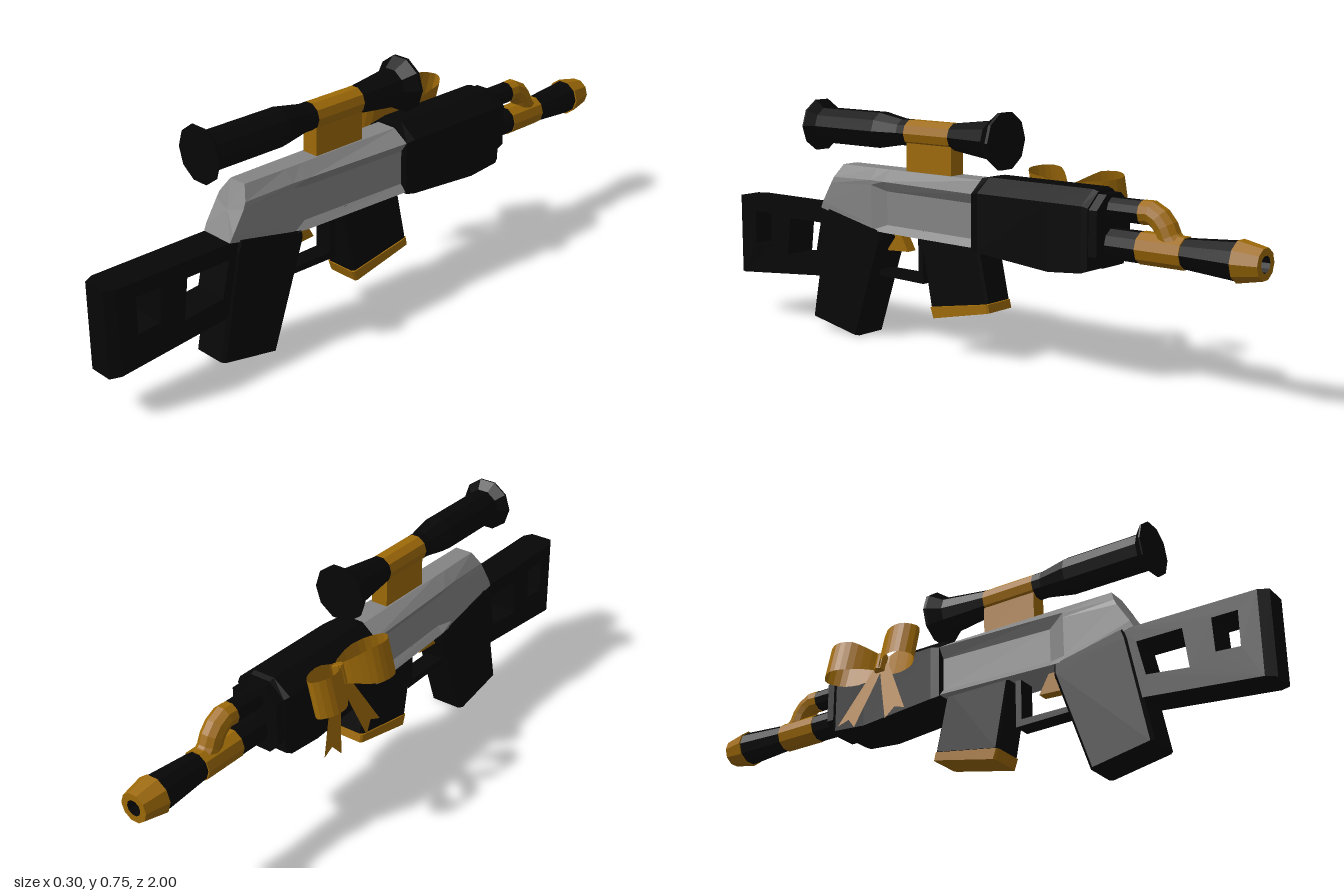
import * as THREE from 'three';

const CX = 0.057; // centre line of the body
const mat = (name, color, side = THREE.FrontSide) =>
  Object.assign(new THREE.MeshStandardMaterial({ color, flatShading: true, side }), { name });

export function createModel() {
  const root = new THREE.Group();
  const black = mat('black', 0x060606);
  const grey = mat('grey', 0x848484);
  const gold = mat('gold', 0x9e6a08, THREE.DoubleSide);

  const add = (name, geo, material, x = CX, y = 0, parent = root) => {
    const m = new THREE.Mesh(geo, material);
    m.name = name;
    m.position.set(x, y, 0);
    parent.add(m);
    return m;
  };

  // Skin over closed rings, anticlockwise as seen from the first ring's side
  const loft = (rings) => {
    const pos = [];
    const tri = (...p) => p.forEach((v) => pos.push(...v));
    const n = rings[0].length;
    for (let r = 0; r < rings.length - 1; r++) {
      for (let i = 0; i < n; i++) {
        const j = (i + 1) % n, a = rings[r], b = rings[r + 1];
        tri(a[i], b[i], b[j]);
        tri(a[i], b[j], a[j]);
      }
    }
    const cap = (ring, flip) => {
      const c = [0, 1, 2].map((k) => ring.reduce((s, p) => s + p[k], 0) / n);
      ring.forEach((p, i) => {
        const q = ring[(i + 1) % n];
        flip ? tri(c, q, p) : tri(c, p, q);
      });
    };
    cap(rings[0], false);
    cap(rings[rings.length - 1], true);
    const g = new THREE.BufferGeometry();
    g.setAttribute('position', new THREE.Float32BufferAttribute(pos, 3));
    g.computeVertexNormals();
    return g;
  };

  // Mirrored ring from [halfWidth, y, z] points listed top to bottom
  const ring = (half, z) => [
    ...half.slice().reverse().map(([w, y, pz]) => [w, y, pz ?? z]),
    ...half.map(([w, y, pz]) => [-w, y, pz ?? z]),
  ];

  // Chamfered slanted block; levels run downwards as [backZ, backY, frontZ, frontY]
  const block = (levels, w, c) => loft(levels.map(([bz, by, fz, fy]) => {
    const k = c / (bz - fz);
    return [[w, k], [w, 1 - k], [w - c, 1], [c - w, 1], [-w, 1 - k], [-w, k], [c - w, 0], [w - c, 0]]
      .map(([x, t]) => [x, by + (fy - by) * t, bz + (fz - bz) * t]);
  }));

  // Side profile in [z, y], extruded across x; holes wind against the outline
  const path = (pts, T = THREE.Shape) => new T(pts.map(([z, y]) => new THREE.Vector2(-z, y)));
  const slab = (pts, width, holes = []) => {
    const s = path(pts);
    s.holes = holes.map((h) => path(h, THREE.Path));
    return new THREE.ExtrudeGeometry(s, { depth: width, bevelEnabled: false })
      .translate(0, 0, -width / 2).rotateY(Math.PI / 2);
  };

  // Turned part along z from [radius, z], z increasing
  const turned = (pts, sides = 10) => new THREE.LatheGeometry(
    pts.map(([r, z]) => new THREE.Vector2(r, z)), sides, Math.PI / 2).rotateX(Math.PI / 2);

  // Stock with two openings and a chamfered butt
  add('stock', slab([[0.97, 0.40], [0.55, 0.40], [0.59, 0.175], [0.97, 0.14]], 0.11, [
    [[0.91, 0.245], [0.835, 0.25], [0.83, 0.355], [0.91, 0.355]],
    [[0.755, 0.225], [0.62, 0.24], [0.595, 0.35], [0.74, 0.35]],
  ]), black);
  add('butt', loft([
    ring([[0.038, 0.40], [0.038, 0.137]], 1),
    ring([[0.055, 0.40], [0.055, 0.14]], 0.97),
  ]), black);

  // Grip, guard and trigger
  add('grip', block([[0.56, 0.40, 0.32, 0.35], [0.57, 0.37, 0.32, 0.32], [0.635, 0.04, 0.43, 0]], 0.061, 0.01), black);
  add('triggerGuard', slab([[0.41, 0.222], [0.19, 0.222], [0.19, 0.36], [0.17, 0.36], [0.17, 0.2], [0.41, 0.205]], 0.06), black);
  add('trigger', slab([[0.31, 0.36], [0.285, 0.36], [0.245, 0.29], [0.335, 0.285], [0.3, 0.33]], 0.035), gold);

  // Magazine with gold base
  add('magazine', block([[0.165, 0.37, -0.065, 0.37], [0.12, 0.14, -0.107, 0.18]], 0.055, 0.008), black);
  add('magazineBase', block([[0.122, 0.138, -0.108, 0.178], [0.11, 0.105, -0.114, 0.153]], 0.057, 0.006), gold);

  // Receiver with sunken side panels and sloping rear
  add('receiver', loft([
    ring([[0.03, 0.545, 0.51], [0.055, 0.505, 0.53], [0.058, 0.485, 0.54], [0.058, 0.42, 0.58], [0.056, 0.40, 0.59]]),
    ring([[0.032, 0.545], [0.062, 0.51], [0.061, 0.495], [0.06, 0.37], [0.06, 0.352]], 0.36),
    ring([[0.032, 0.545], [0.066, 0.51], [0.046, 0.478], [0.046, 0.372], [0.064, 0.35]], 0.305),
    ring([[0.034, 0.545], [0.086, 0.51], [0.064, 0.478], [0.064, 0.372], [0.084, 0.35]], -0.09),
  ]), grey);

  // Handguard and its stepped nose
  add('handguard', loft([
    ring([[0.034, 0.552], [0.086, 0.51], [0.086, 0.345]], -0.072),
    ring([[0.036, 0.557], [0.092, 0.515], [0.092, 0.34]], -0.1),
    ring([[0.036, 0.557], [0.092, 0.515], [0.092, 0.317]], -0.36),
    ring([[0.036, 0.557], [0.092, 0.515], [0.092, 0.327]], -0.475),
    ring([[0.034, 0.552], [0.084, 0.51], [0.084, 0.335]], -0.492),
  ]), black);
  add('handguardNose', loft([
    ring([[0.034, 0.545], [0.08, 0.505], [0.08, 0.375], [0.05, 0.34]], -0.48),
    ring([[0.034, 0.545], [0.08, 0.505], [0.08, 0.375], [0.05, 0.34]], -0.52),
  ]), black);

  // Barrel from muzzle to handguard
  const by = 0.405;
  add('bore', turned([[0, -0.95], [0.024, -0.95], [0.024, -1]]), black, CX, by);
  add('muzzle', turned([[0.024, -1], [0.045, -1], [0.06, -0.925], [0, -0.925]]), gold, CX, by);
  add('muzzleCone', turned([[0.055, -0.925], [0.043, -0.76]]), black, CX, by);
  add('barrelBand', turned([[0, -0.762], [0.047, -0.762], [0.047, -0.62], [0, -0.62]]), gold, CX, by);
  add('barrel', turned([[0.045, -0.62], [0.045, -0.5]]), black, CX, by);

  // Gas tube sweeping down into the barrel
  add('gasTube', turned([[0.034, -0.62], [0.034, -0.5]]), black, CX, 0.503);
  const bend = new THREE.CatmullRomCurve3([[0.503, -0.62], [0.503, -0.655], [0.475, -0.69], [0.43, -0.715], [0.41, -0.755]]
    .map(([y, z]) => new THREE.Vector3(0, y, z)));
  add('gasBlock', new THREE.TubeGeometry(bend, 6, 0.035, 10), gold);

  // Scope on its mount
  const sy = 0.662;
  add('scopeFront', turned([[0, -0.135], [0.088, -0.135], [0.088, -0.125], [0.06, -0.085], [0.042, 0.06]]), black, CX, sy);
  add('scopeBand', turned([[0.042, 0.055], [0.042, 0.24]]), gold, CX, sy);
  add('scopeRear', turned([[0.042, 0.24], [0.042, 0.27], [0.058, 0.36], [0.058, 0.61], [0.085, 0.635], [0.085, 0.64], [0, 0.64]]), black, CX, sy);
  add('scopeMount', new THREE.BoxGeometry(0.055, 0.12, 0.182).translate(0, 0.595, 0.148), gold);

  // Ribbon bow on the right side, tilted with the handguard
  const bow = new THREE.Group();
  bow.name = 'bow';
  bow.position.set(-0.045, 0.5, -0.28);
  bow.rotation.z = -0.25;
  root.add(bow);
  const outline = new THREE.CatmullRomCurve3([[0, 0], [-0.055, -0.035], [-0.092, -0.085], [-0.095, -0.135],
    [-0.06, -0.172], [-0.02, -0.14], [-0.003, -0.08]].map(([x, z]) => new THREE.Vector3(x, 0, z)), true).getPoints(20);
  for (const s of [1, -1]) {
    const strip = new THREE.PlaneGeometry(1, 1, 20, 1);
    const p = strip.attributes.position;
    for (let i = 0; i < p.count; i++) {
      const q = outline[i % 21];
      // ribbon narrows towards the knot
      const h = 0.03 + 0.026 * Math.min(1, Math.abs(q.z) / 0.07);
      p.setXYZ(i, q.x, i < 21 ? h : -h, q.z * s);
    }
    strip.computeVertexNormals();
    add('bowLoop', strip, gold, 0, 0, bow);
    const tail = path([[0.01, 0], [-0.025, 0], [-0.13, -0.205], [-0.09, -0.19], [-0.06, -0.226], [-0.02, -0.1]]
      .map(([z, y]) => [z * -s, y]));
    add('bowTail', new THREE.ShapeGeometry(tail).rotateY(Math.PI / 2), gold, -0.004, 0, bow);
  }
  add('bowKnot', new THREE.CylinderGeometry(0.018, 0.018, 0.06, 8), gold, -0.01, 0, bow);

  return root;
}
